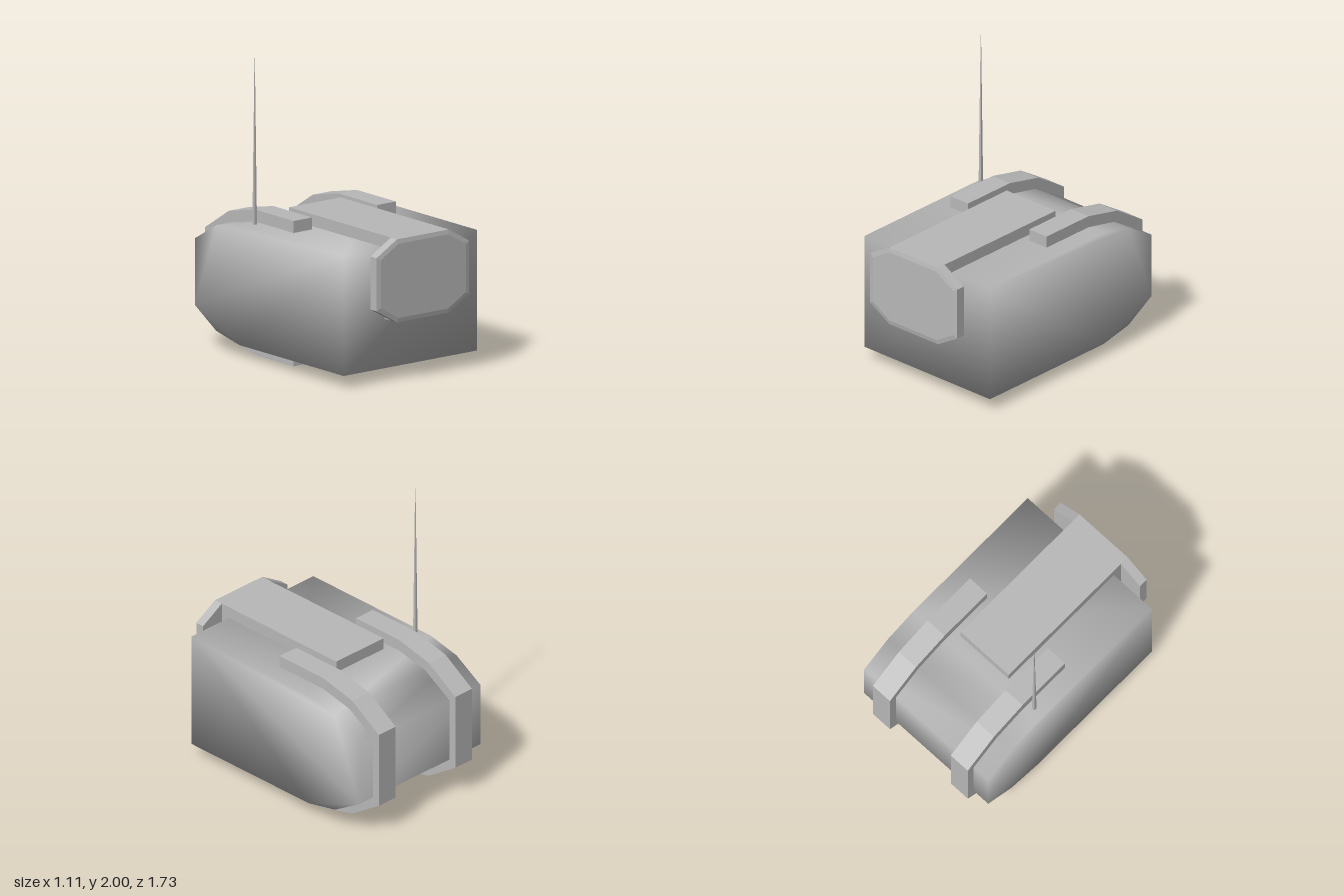
import * as THREE from 'three';
import { mergeVertices } from 'three/addons/utils/BufferGeometryUtils.js';

const grey = new THREE.MeshStandardMaterial({ color: 0xb8b8b8 });
grey.name = 'plain grey';

const toShape = (points) => new THREE.Shape(points.map(([a, b]) => new THREE.Vector2(a, b)));

// Extrude a side profile, given as [z, y] points, from x0 to x1
function sideExtrude(profile, x0, x1) {
  const shape = toShape(profile.map(([z, y]) => [-z, y]));
  const geo = new THREE.ExtrudeGeometry(shape, { depth: x1 - x0, bevelEnabled: false });
  return geo.rotateY(Math.PI / 2).translate(x0, 0, 0);
}

export function createModel() {
  const model = new THREE.Group();
  model.name = 'pack';

  const add = (name, geometry) => {
    const mesh = new THREE.Mesh(geometry, grey);
    mesh.name = name;
    model.add(mesh);
    return mesh;
  };

  // Rounded rear curve of the body, top to bottom
  const rear = [[-0.35, 0.89], [-0.59, 0.84], [-0.81, 0.71], [-0.81, 0.265], [-0.59, 0.135], [-0.35, 0.085]];

  // Body, with soft shading across all its edges
  let body = sideExtrude([[0.73, 0.085], [0.73, 0.89], ...rear], -0.555, 0.555);
  body.deleteAttribute('normal');
  body.deleteAttribute('uv');
  body = mergeVertices(body);
  body.computeVertexNormals();
  add('body', body);

  // Two straps wrapping the rear of the body
  const strap = [
    [0.05, 0.97], [-0.35, 0.97], [-0.62, 0.91], [-0.865, 0.755],
    [-0.865, 0.225], [-0.62, 0.065], [-0.35, 0], [0.05, 0],
    [0.05, 0.085], ...rear.slice().reverse(), [0.05, 0.89],
  ];
  add('leftStrap', sideExtrude(strap, 0.272, 0.425));
  add('rightStrap', sideExtrude(strap, -0.425, -0.272));

  // Bracket running over the top and down the front
  const bracket = [[-0.26, 0.89], [-0.26, 0.97], [0.798, 0.97], [0.798, 0.415], [0.73, 0.415], [0.73, 0.89]];
  add('topBracket', sideExtrude(bracket, -0.215, 0.215));

  // Eight-sided front plate with a shallow bevel on its face only
  const octagon = toShape([
    [-0.215, 0.415], [0.215, 0.415], [0.385, 0.515], [0.385, 0.87],
    [0.215, 0.97], [-0.215, 0.97], [-0.385, 0.87], [-0.385, 0.515],
  ]);
  const plate = new THREE.ExtrudeGeometry(octagon, {
    depth: 0.063, bevelThickness: 0.006, bevelSize: 0.03, bevelOffset: -0.03, bevelSegments: 1,
  });
  const pos = plate.attributes.position;
  for (let i = 0; i < pos.count; i++) pos.setZ(i, Math.max(0, pos.getZ(i)));
  plate.computeVertexNormals();
  plate.translate(0, 0, 0.796);
  add('frontPlate', plate);

  // Thin tapering square aerial
  const aerial = new THREE.CylinderGeometry(0.0015, 0.0155, 1.14, 4).toNonIndexed();
  aerial.rotateY(Math.PI / 4);
  aerial.computeVertexNormals();
  add('aerial', aerial).position.set(-0.474, 1.43, -0.292);

  return model;
}
